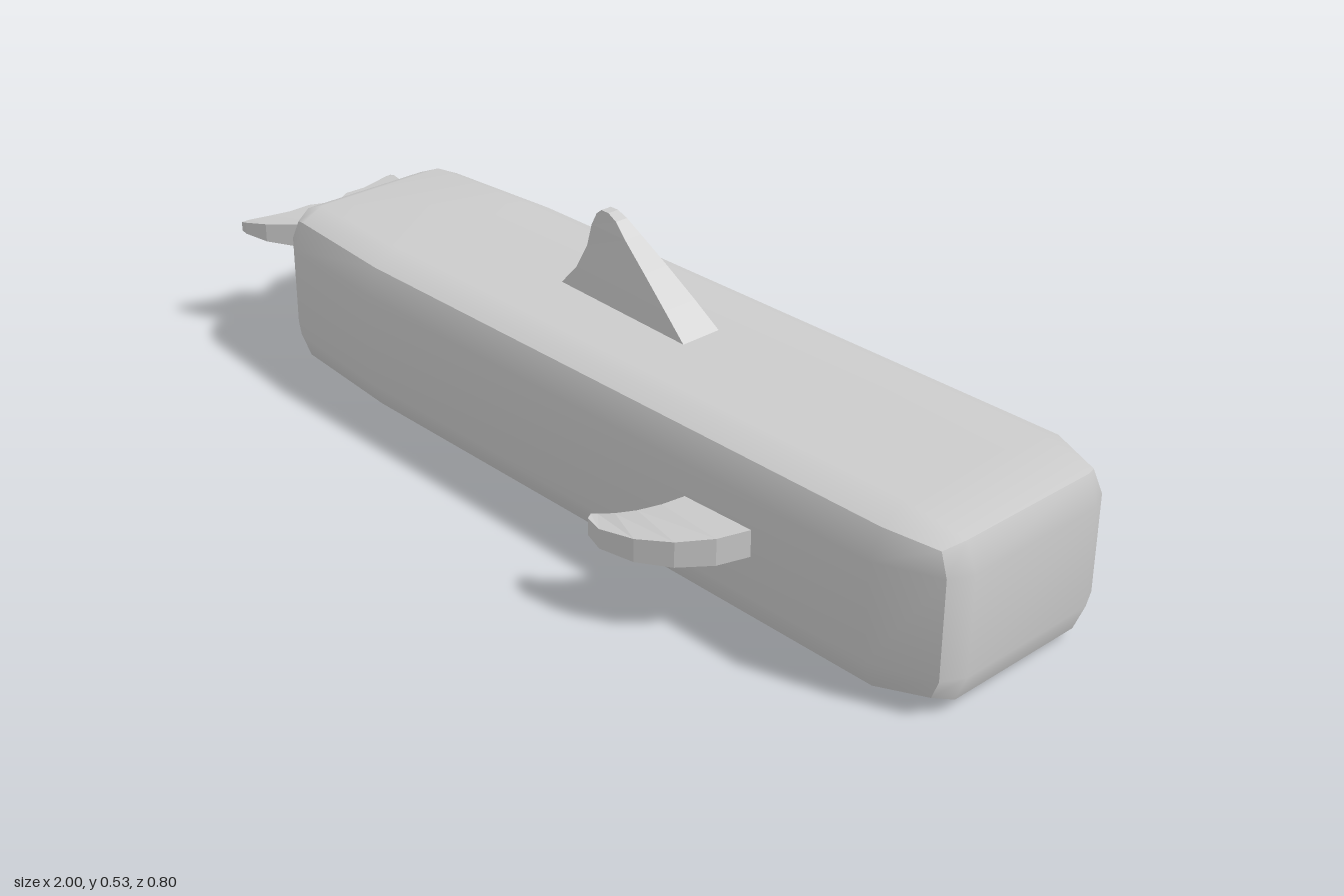
import * as THREE from 'three';

const material = new THREE.MeshStandardMaterial({ color: 0xcccccc });
const flat = new THREE.MeshStandardMaterial({ color: 0xcccccc, flatShading: true });

// Joins a row of four-cornered sections into a closed solid.
// Corners run counter-clockwise as seen from the last section.
function loft(name, sections) {
  const pos = [];
  const quad = (a, b, c, d) => pos.push(...a, ...b, ...c, ...a, ...c, ...d);
  for (let s = 0; s < sections.length - 1; s++) {
    const a = sections[s], b = sections[s + 1];
    for (let i = 0; i < 4; i++) {
      const j = (i + 1) % 4;
      quad(a[i], a[j], b[j], b[i]);
    }
  }
  const first = sections[0], last = sections[sections.length - 1];
  quad(first[0], first[3], first[2], first[1]);
  quad(...last);
  const geo = new THREE.BufferGeometry();
  geo.setAttribute('position', new THREE.Float32BufferAttribute(pos, 3));
  geo.computeVertexNormals();
  const mesh = new THREE.Mesh(geo, flat);
  mesh.name = name;
  return mesh;
}

// Long block with crowned faces: edges and corners are pulled inwards.
function makeBody() {
  const geo = new THREE.BoxGeometry(1, 1, 1, 4, 3, 3);
  const p = geo.attributes.position;
  const xs = [-0.84, -0.76, -0.48, 0.86, 1];
  const ys = [0, 0.08, 0.275, 0.355];
  const taper = [0.96, 0.9, 1, 1, 1];
  for (let i = 0; i < p.count; i++) {
    const ix = Math.round((p.getX(i) + 0.5) * 4);
    const iy = Math.round((p.getY(i) + 0.5) * 3);
    const iz = Math.round((p.getZ(i) + 0.5) * 3);
    const endX = ix % 4 === 0, endY = iy % 3 === 0, endZ = iz % 3 === 0;
    const n = endX + endY + endZ;
    let x = xs[ix], y = ys[iy];
    let z = endX ? 0.155 : 0.17;
    if (endX) x -= Math.sign(x) * [0, 0, 0.022, 0.04][n];
    if (endY) y += (iy ? -1 : 1) * [0, 0, 0.025, 0.038][n];
    if (endZ) z = n === 1 ? 0.25 : n === 3 ? 0.195 : endX ? 0.2 : 0.226;
    p.setXYZ(i, x, y, (iz < 2 ? -1 : 1) * z * taper[ix]);
  }
  geo.computeVertexNormals();
  const mesh = new THREE.Mesh(geo, material);
  mesh.name = 'body';
  return mesh;
}

// Swept-back fin on top: height, rear x, front x, rear and front half thickness.
function makeDorsalFin() {
  const rows = [
    [0.34, -0.15, 0.235, 0.031, 0.046],
    [0.355, -0.14, 0.215, 0.03, 0.045],
    [0.4, -0.1, 0.158, 0.027, 0.038],
    [0.45, -0.076, 0.092, 0.021, 0.029],
    [0.495, -0.068, 0.03, 0.016, 0.02],
    [0.52, -0.057, -0.002, 0.013, 0.014],
    [0.53, -0.045, -0.025, 0.012, 0.012],
  ];
  return loft('dorsalFin', rows.map(([y, r, f, hr, hf]) =>
    [[r, y, hr], [f, y, hf], [f, y, -hf], [r, y, -hr]]));
}

// Curved side flipper: leading x, z; trailing x, z; top and bottom height.
function makeFlipper(side) {
  const rows = [
    [0.605, 0.22, 0.44, 0.22, 0.223, 0.167],
    [0.597, 0.25, 0.435, 0.25, 0.216, 0.163],
    [0.57, 0.305, 0.42, 0.29, 0.209, 0.156],
    [0.52, 0.355, 0.395, 0.325, 0.2, 0.15],
    [0.455, 0.388, 0.365, 0.35, 0.191, 0.145],
    [0.38, 0.4, 0.335, 0.363, 0.182, 0.143],
    [0.34, 0.39, 0.327, 0.372, 0.182, 0.148],
  ];
  return loft(side > 0 ? 'frontFlipper' : 'backFlipper', rows.map(([lx, lz, tx, tz, top, low]) => {
    const ring = [[tx, low + 0.006, tz * side], [lx, low, lz * side],
      [lx, top, lz * side], [tx, top - 0.004, tz * side]];
    return side > 0 ? ring : ring.reverse();
  }));
}

// Flat notched tail: z, trailing x, leading x, half thickness at each edge.
function makeTail() {
  const half = [
    [0, -0.925, -0.8, 0.025, 0.031],
    [0.05, -0.962, -0.8, 0.019, 0.031],
    [0.1, -0.965, -0.843, 0.017, 0.029],
    [0.14, -0.978, -0.877, 0.015, 0.026],
    [0.182, -0.995, -0.935, 0.012, 0.02],
    [0.2, -1, -0.985, 0.01, 0.013],
  ];
  const mirrored = half.slice(1).reverse().map(([z, ...rest]) => [-z, ...rest]);
  const y = 0.245;
  return loft('tailFluke', [...mirrored, ...half].map(([z, t, l, ht, hl]) =>
    [[t, y - ht, z], [l, y - hl, z], [l, y + hl, z], [t, y + ht, z]]));
}

export function createModel() {
  const group = new THREE.Group();
  group.name = 'blockWhale';
  group.add(makeBody(), makeDorsalFin(), makeTail());
  for (const side of [1, -1]) group.add(makeFlipper(side));
  return group;
}
